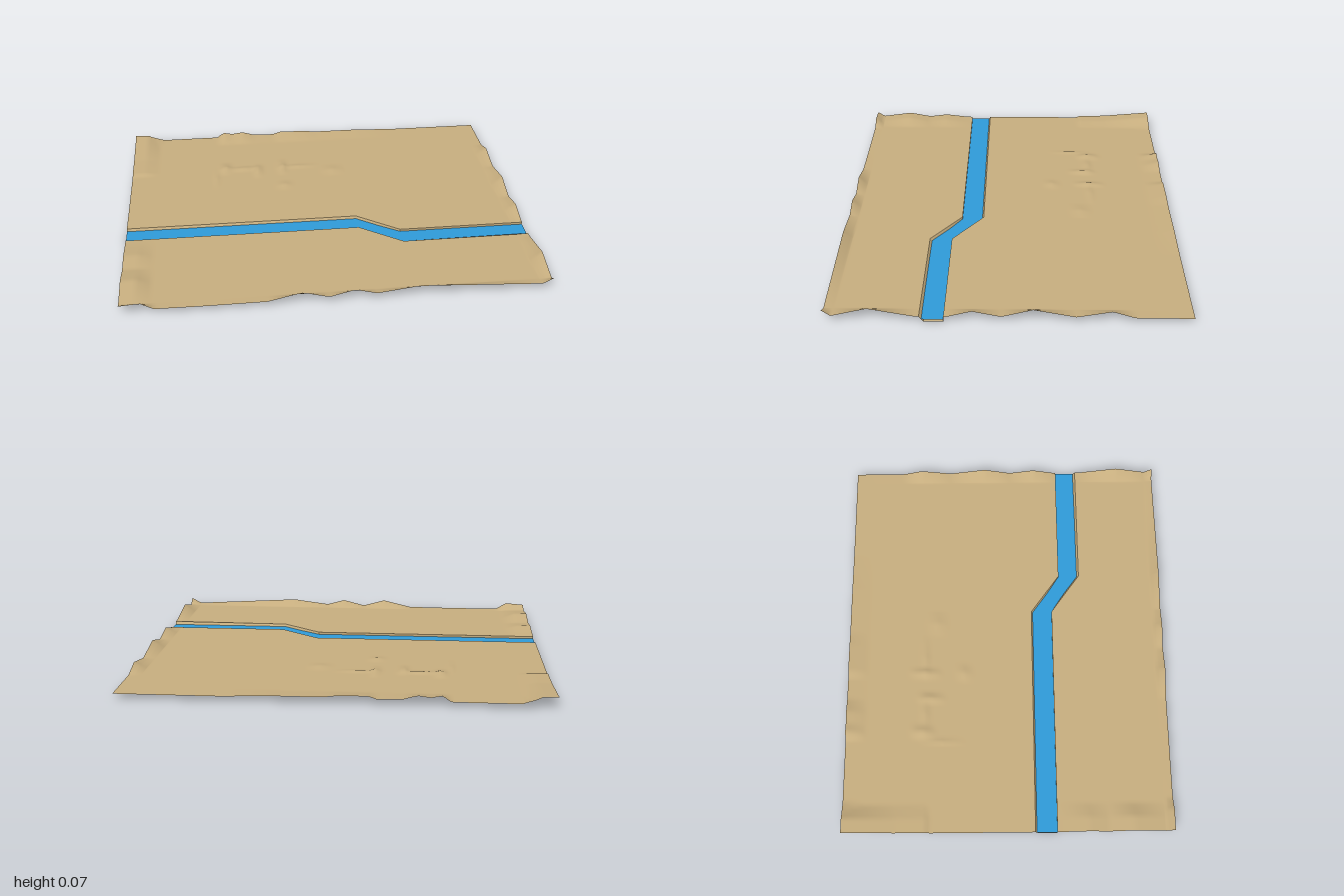
import * as THREE from 'three';

const sand = new THREE.MeshStandardMaterial({ color: 0xc6ad7e, side: THREE.DoubleSide });
sand.name = 'sand';
const blue = new THREE.MeshStandardMaterial({ color: 0x2f9ad8, side: THREE.DoubleSide });
blue.name = 'water blue';

const X = 1, Z = 0.82, BASE = 0.025, WATER = 0.013;

// River plan: [x, rear bank z, front bank z]
const river = [[-X, 0.135, 0.243], [0.165, 0.135, 0.243], [0.37, 0.285, 0.393], [X, 0.285, 0.393]];

function bank(x, side) {
  for (let i = 0; i < river.length - 1; i++) {
    const a = river[i], b = river[i + 1];
    if (x <= b[0]) return THREE.MathUtils.lerp(a[side], b[side], (x - a[0]) / (b[0] - a[0]));
  }
  return river[river.length - 1][side];
}

// Height along a polyline of [position, height] points
function profile(points, t) {
  for (let i = 0; i < points.length - 1; i++) {
    const [a, ha] = points[i], [b, hb] = points[i + 1];
    if (t >= a && t <= b) return ha + (hb - ha) * (t - a) / (b - a);
  }
  return 0;
}

// Raised rims of the sheet
const frontRim = [[-1, 0.028], [-0.9, 0.036], [-0.84, 0.002], [-0.62, 0], [-0.33, 0.002], [-0.17, 0.04],
  [-0.05, 0.006], [0.07, 0.037], [0.17, 0.01], [0.37, 0.036], [0.95, 0.004], [1, 0.03]];
const backRim = [[-1, 0.036], [-0.9, 0.02], [-0.84, 0], [-0.53, 0], [-0.49, 0.028], [-0.44, 0.018], [-0.38, 0.026],
  [-0.31, 0.006], [-0.2, 0.004], [-0.16, 0.018], [-0.02, 0.016], [0.05, 0.008], [0.3, 0.008], [0.5, 0], [1, 0]];
const rightRim = [[-0.82, 0], [-0.56, 0.001], [-0.46, 0.034], [-0.3, 0.004], [-0.11, 0.042], [0.03, 0.004],
  [0.16, 0.032], [0.28, 0], [0.42, 0.004], [0.62, 0.043], [0.78, 0.003], [0.82, 0.033]];
const leftRim = [[-0.82, 0.034], [-0.56, 0.012], [-0.41, 0.009], [-0.39, 0], [0.25, 0], [0.3, 0.004],
  [0.4, 0.016], [0.5, 0.003], [0.62, 0.026], [0.78, 0.004], [0.82, 0.028]];

// Small ridges: [x, z, half length x, half length z, height]
const ridges = [[-0.49, -0.43, 0.04, 0.07, 0.016], [-0.39, -0.42, 0.12, 0.03, 0.01], [-0.31, -0.39, 0.03, 0.08, 0.014],
  [-0.175, -0.42, 0.03, 0.09, 0.014], [-0.09, -0.42, 0.12, 0.025, 0.008], [-0.175, -0.22, 0.05, 0.05, 0.009],
  [0.1, -0.36, 0.07, 0.06, 0.008], [-0.54, -0.33, 0.015, 0.12, 0.007]];

const fade = (d, w) => Math.max(0, 1 - d / w);

function height(x, z) {
  let h = Math.max(
    profile(frontRim, x) * fade(Z - z, 0.045),
    profile(backRim, x) * fade(z + Z, 0.1),
    profile(rightRim, z) * fade(X - x, 0.06),
    profile(leftRim, z) * fade(Math.max(0, x + 0.93), 0.07));
  for (const [rx, rz, lx, lz, rh] of ridges) h += rh * fade(Math.abs(x - rx), lx) * fade(Math.abs(z - rz), lz);
  return BASE + h;
}

// Surface from a rule over u and v
function sheet(us, vs, rule) {
  const pos = [], index = [], n = us.length;
  vs.forEach(v => us.forEach(u => pos.push(...rule(u, v))));
  for (let j = 0; j < vs.length - 1; j++) for (let i = 0; i < n - 1; i++) {
    const a = j * n + i, b = a + n;
    index.push(a, b, a + 1, a + 1, b, b + 1);
  }
  const g = new THREE.BufferGeometry();
  g.setAttribute('position', new THREE.Float32BufferAttribute(pos, 3));
  g.setIndex(index);
  g.computeVertexNormals();
  return g;
}

const steps = (a, b, n) => Array.from({ length: n + 1 }, (_, i) => a + (b - a) * i / n);
const merged = (...lists) => [...new Set(lists.flat().map(v => +v.toFixed(4)))].sort((a, b) => a - b);

export function createModel() {
  const group = new THREE.Group();
  const add = (name, geometry, material) => {
    const mesh = new THREE.Mesh(geometry, material);
    mesh.name = name;
    group.add(mesh);
  };

  // Ground on either side of the river
  const xs = merged(steps(-X, X, 140), [0.165, 0.37, 0.94, 0.97]);
  const rows = steps(0, 1, 70), frontRows = merged(steps(0, 1, 36), [0.9, 0.925, 0.95]);
  const land = (from, to) => (x, v) => {
    const z = THREE.MathUtils.lerp(from(x), to(x), v);
    return [x, height(x, z), z];
  };
  add('rearGround', sheet(xs, rows, land(() => -Z, x => bank(x, 1))), sand);
  add('frontGround', sheet(xs, frontRows, land(x => bank(x, 2), () => Z)), sand);

  // Channel walls and bed, one piece per straight run
  const bed = river.map(([x, r, f], i) => i < 2 ? [x, r + 0.015, f] : [x, r, f - 0.02]);
  for (let i = 0; i < river.length - 1; i++) {
    const strip = (from, to) => sheet([i, i + 1], [0, 1], (k, v) => (v ? to(k) : from(k)));
    const rim = side => k => [river[k][0], height(river[k][0], river[k][side]), river[k][side]];
    const foot = side => k => [bed[k][0], 0, bed[k][side]];
    add('rearBank', strip(rim(1), foot(1)), sand);
    add('riverBed', strip(foot(1), foot(2)), sand);
    add('frontBank', strip(foot(2), rim(2)), sand);
    // Water meets the sloping banks
    const shore = side => k => {
      const t = WATER / BASE;
      return [river[k][0], WATER, THREE.MathUtils.lerp(bed[k][side], river[k][side], t)];
    };
    add('water', strip(shore(1), shore(2)), blue);
  }
  return group;
}
